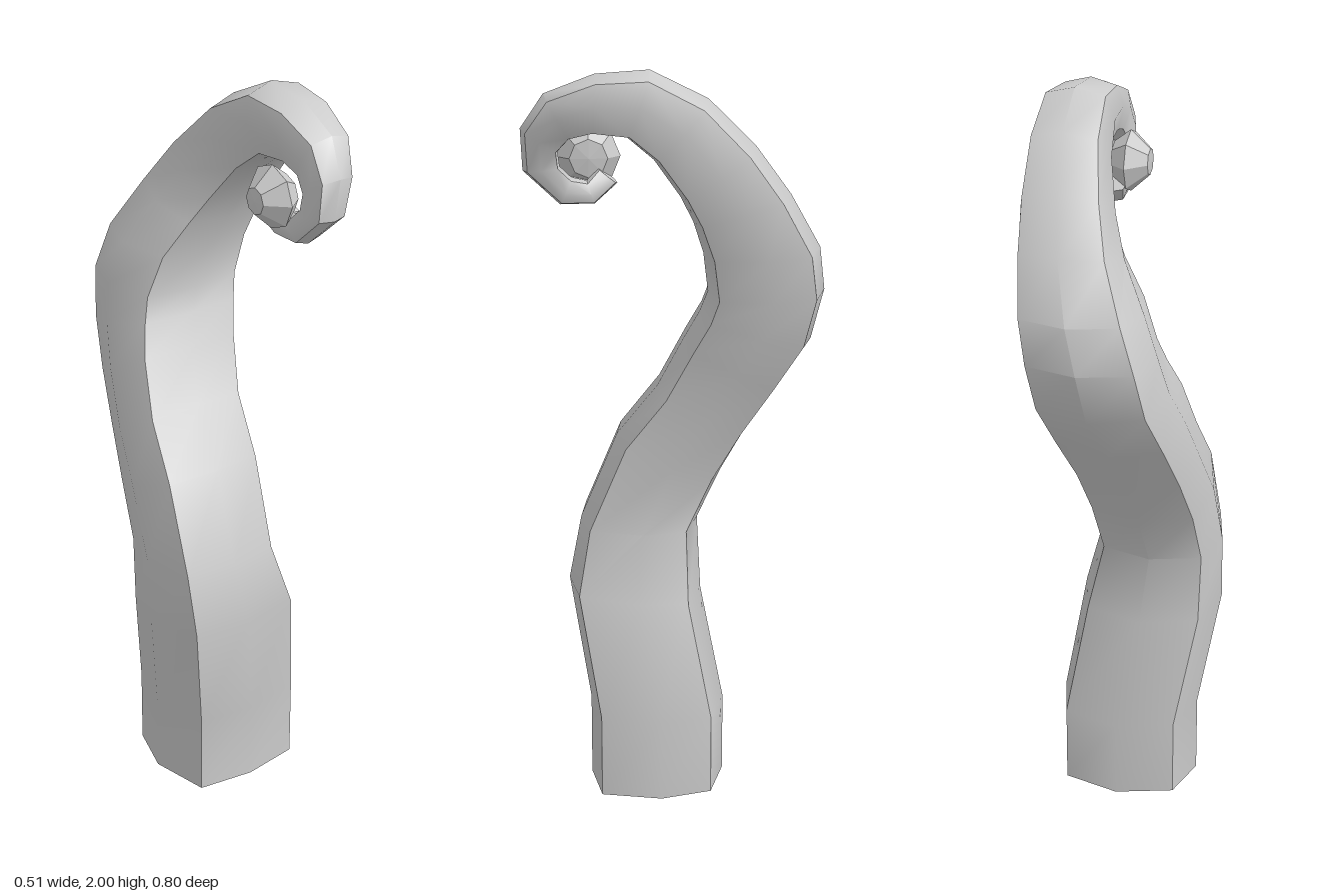
import * as THREE from 'three';
import { toCreasedNormals } from 'three/addons/utils/BufferGeometryUtils.js';

// Cross-section: a bulged square with eight corners, in units of half width and half depth
const SECTION = [[1, 0], [0.8, 0.88], [0, 1], [-0.8, 0.88], [-1, 0], [-0.8, -0.75], [0, -1], [0.8, -0.75]];

// Rings from base to tip: centre x, half width, inner edge (z, y), outer edge (z, y)
const RINGS = [
  [-0.005, 0.195, 0.23, 0, -0.14, 0],
  [-0.005, 0.195, 0.23, 0.23, -0.14, 0.22],
  [-0.057, 0.197, 0.285, 0.57, -0.08, 0.53],
  [-0.083, 0.172, 0.25, 0.74, -0.072, 0.73],
  [-0.07, 0.175, 0.15, 0.98, -0.135, 0.87],
  [-0.05, 0.175, 0.04, 1.12, -0.205, 1.0],
  [-0.02, 0.18, -0.03, 1.26, -0.29, 1.13],
  [0.01, 0.18, -0.07, 1.34, -0.37, 1.26],
  [0.03, 0.177, -0.09, 1.4, -0.402, 1.4],
  [0.06, 0.165, -0.075, 1.51, -0.385, 1.52],
  [0.1, 0.14, -0.045, 1.6, -0.3, 1.67],
  [0.125, 0.125, -0.01, 1.67, -0.205, 1.8],
  [0.145, 0.11, 0.06, 1.77, -0.08, 1.925],
  [0.153, 0.1, 0.13, 1.83, 0.07, 2.0],
  [0.147, 0.088, 0.22, 1.84, 0.21, 1.99],
  [0.135, 0.072, 0.275, 1.825, 0.34, 1.94],
  [0.118, 0.058, 0.305, 1.79, 0.4, 1.85],
  [0.108, 0.05, 0.3, 1.75, 0.395, 1.74],
  [0.102, 0.046, 0.27, 1.72, 0.3, 1.65],
  [0.095, 0.042, 0.23, 1.71, 0.21, 1.65],
  [0.075, 0.035, 0.2, 1.74, 0.15, 1.7],
];

function tentacleGeometry() {
  const n = SECTION.length;
  const pos = [];
  const idx = [];
  for (const [cx, w, fz, fy, bz, by] of RINGS) {
    for (const [u, v] of SECTION) {
      pos.push(cx + u * w, (fy + by) / 2 + v * (fy - by) / 2, (fz + bz) / 2 + v * (fz - bz) / 2);
    }
  }
  for (let r = 0; r < RINGS.length - 1; r++) {
    for (let j = 0; j < n; j++) {
      const a = r * n + j;
      const b = r * n + (j + 1) % n;
      idx.push(a, a + n, b, b, a + n, b + n);
    }
  }
  // Flat caps at both ends
  const last = (RINGS.length - 1) * n;
  for (let j = 1; j < n - 1; j++) {
    idx.push(0, j, j + 1);
    idx.push(last, last + j + 1, last + j);
  }
  const g = new THREE.BufferGeometry();
  g.setAttribute('position', new THREE.Float32BufferAttribute(pos, 3));
  g.setIndex(idx);
  return toCreasedNormals(g, 0.7);
}

export function createModel() {
  const group = new THREE.Group();
  group.name = 'curledTentacle';

  const tentacle = new THREE.Mesh(tentacleGeometry(), new THREE.MeshStandardMaterial({ color: 0xcccccc }));
  tentacle.name = 'tentacle';
  group.add(tentacle);

  // Faceted bulb in the middle of the curl, turned out to the right
  const profile = [[0, -0.05], [0.05, -0.045], [0.085, 0], [0.036, 0.053], [0, 0.055]]
    .map(([r, y]) => new THREE.Vector2(r, y));
  const bulb = new THREE.Mesh(
    new THREE.LatheGeometry(profile, 8),
    new THREE.MeshStandardMaterial({ color: 0xcccccc, flatShading: true })
  );
  bulb.name = 'tipBulb';
  bulb.rotation.z = Math.PI / 2;
  bulb.position.set(0.042, 1.765, 0.225);
  group.add(bulb);

  return group;
}
